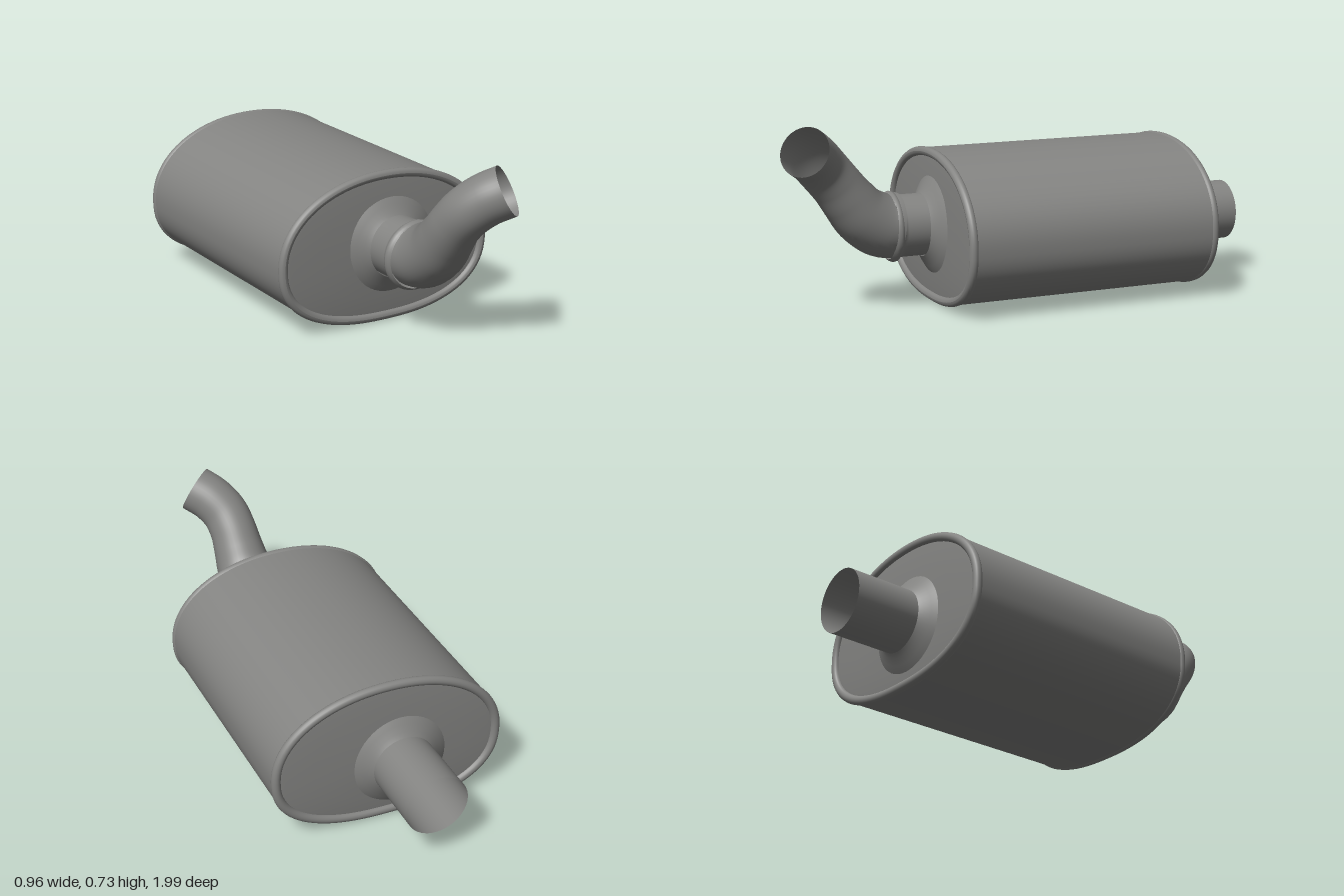
import * as THREE from 'three';

const metal = new THREE.MeshStandardMaterial({ color: 0x848482, side: THREE.DoubleSide });
metal.name = 'grey metal';

const SEG = 96, MID_Y = 0.282;
// the can sits slightly skewed on its long axis
const skew = new THREE.Matrix4().set(
  1, 0, -0.031, -0.006,
  0, 1, 0, 0,
  0.055, 0, 1, 0,
  0, 0, 0, 1);

// flattened oval outline, rounder on top than below
function ovalPoint(t, inset, scale) {
  const c = Math.cos(t), s = Math.sin(t);
  const n = s >= 0 ? 2.1 : 2.4;
  const a = 0.466 - inset, b = (s >= 0 ? 0.325 : 0.28) - inset;
  const pow = v => Math.sign(v) * Math.abs(v) ** (2 / n);
  return [a * pow(c) * scale, MID_Y + b * pow(s) * scale];
}

// joins oval rings given as [inset, z, scale]
function loft(rings) {
  const pos = [], idx = [];
  rings.forEach(([inset, z, scale = 1], i) => {
    for (let j = 0; j < SEG; j++) {
      pos.push(...ovalPoint(j / SEG * Math.PI * 2, inset, scale), z);
      if (i === 0) continue;
      const k = (j + 1) % SEG, p = (i - 1) * SEG, q = i * SEG;
      idx.push(p + j, q + j, p + k, p + k, q + j, q + k);
    }
  });
  const g = new THREE.BufferGeometry();
  g.setAttribute('position', new THREE.Float32BufferAttribute(pos, 3));
  g.setIndex(idx);
  g.computeVertexNormals();
  return g;
}

// turned part along z, profile given as [radius, z]
function turned(profile, x, y) {
  const g = new THREE.LatheGeometry(profile.map(p => new THREE.Vector2(...p)), 48);
  return g.rotateX(Math.PI / 2).translate(x, y, 0);
}

export function createModel() {
  const model = new THREE.Group();
  model.name = 'muffler';
  const add = (name, geometry, skewed = true) => {
    if (skewed) geometry.applyMatrix4(skew);
    const mesh = new THREE.Mesh(geometry, metal);
    mesh.name = name;
    model.add(mesh);
  };

  // can and its rolled rims
  add('canShell', loft([[0.005, 0.352], [0.005, -0.672]]));
  const rim = z => loft(Array.from({ length: 17 }, (_, i) => {
    const a = i / 16 * Math.PI * 2;
    return [0.018 - 0.018 * Math.sin(a), z + 0.018 * Math.cos(a)];
  }));
  add('frontRim', rim(0.352));
  add('backRim', rim(-0.672));

  // gently domed end panels
  const panel = [[0.03, 0.015, 0], [0.03, 0.014, 0.35], [0.03, 0.009, 0.7], [0.03, 0.004, 0.95], [0.02, 0]];
  add('frontPanel', loft(panel.map(([i, z, s]) => [i, 0.352 + z, s])));
  add('backPanel', loft(panel.map(([i, z, s]) => [i, -0.672 - z, s]).reverse()));

  // flared collars around the pipes
  const collar = (z, d) => [[0.19, z], [0.165, z + d * 0.016], [0.14, z + d * 0.03], [0.121, z + d * 0.045]];
  add('frontCollar', turned(collar(0.362, 1), 0.02, 0.31));
  add('backCollar', turned(collar(-0.682, -1), -0.043, 0.255));

  // straight back pipe
  add('backPipe', turned([[0.123, -0.67], [0.123, -0.99]], -0.043, 0.255));

  // front sleeve with raised bead
  add('frontSleeve', turned([[0.121, 0.35], [0.121, 0.495], [0.125, 0.51], [0.136, 0.52],
    [0.138, 0.53], [0.134, 0.54], [0.126, 0.548]], 0.02, 0.315));

  // curved outlet, tapering along its length
  const path = new THREE.CatmullRomCurve3([
    [0.003, 0.32, 0.52], [0.004, 0.327, 0.575], [0.006, 0.372, 0.65], [0.006, 0.435, 0.705],
    [0.008, 0.5, 0.755], [0.022, 0.56, 0.808], [0.06, 0.61, 0.86], [0.112, 0.646, 0.912],
  ].map(p => new THREE.Vector3(...p)));
  const STEPS = 48, SIDES = 40;
  const outlet = new THREE.TubeGeometry(path, STEPS, 1, SIDES, false);
  const p = outlet.attributes.position, v = new THREE.Vector3();
  for (let i = 0; i <= STEPS; i++) {
    const u = i / STEPS, centre = path.getPointAt(u);
    const radius = THREE.MathUtils.lerp(0.127, 0.098, THREE.MathUtils.smoothstep(u, 0, 0.6));
    for (let j = 0; j <= SIDES; j++) {
      const k = i * (SIDES + 1) + j;
      v.fromBufferAttribute(p, k).sub(centre).multiplyScalar(radius).add(centre);
      p.setXYZ(k, v.x, v.y, v.z);
    }
  }
  add('outletPipe', outlet, false);

  return model;
}
